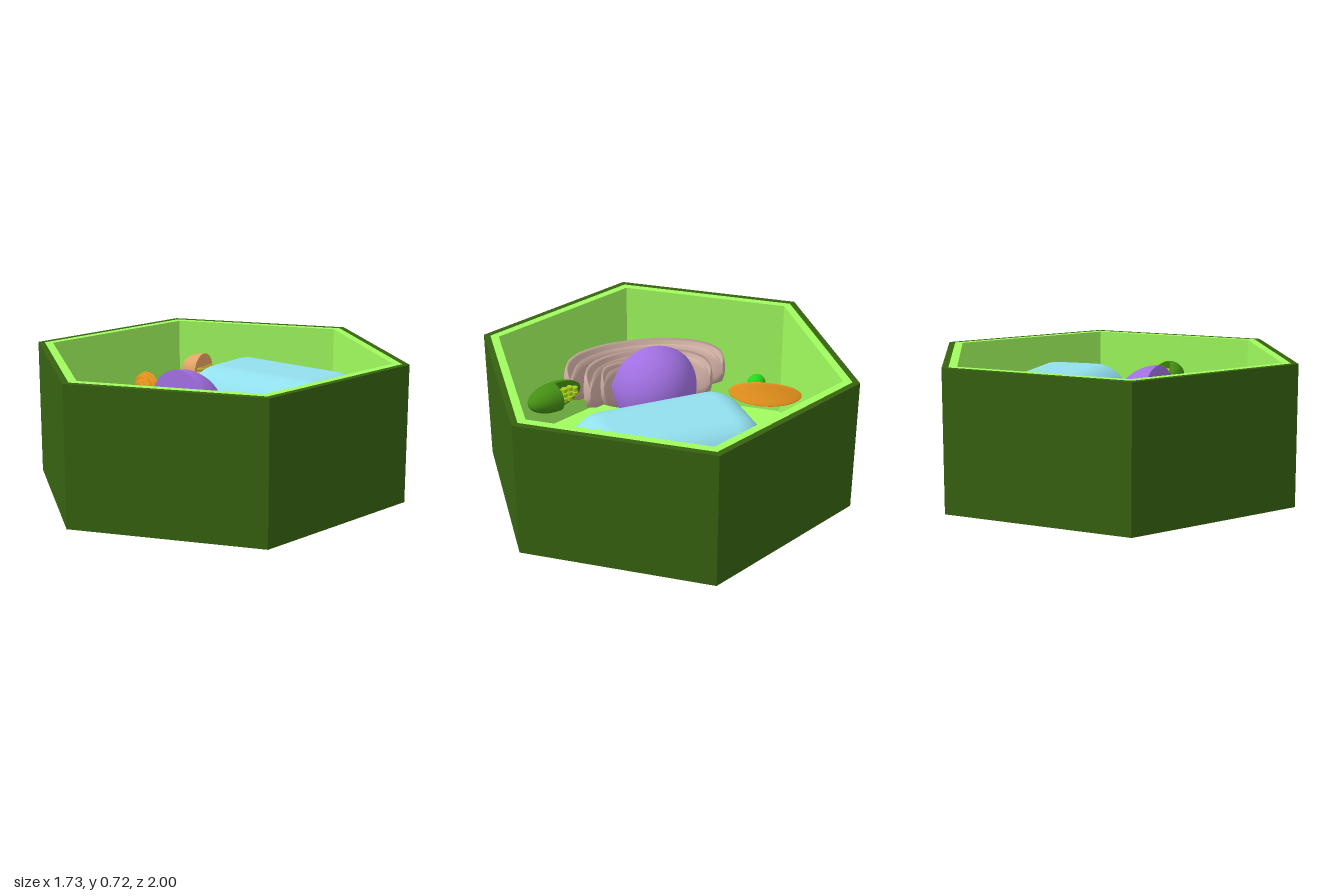
import * as THREE from 'three';
import { RoundedBoxGeometry } from 'three/addons/geometries/RoundedBoxGeometry.js';

const V = (x, y, z) => new THREE.Vector3(x, y, z);

function add(parent, name, geometry, color, pos = [0, 0, 0], opts = {}) {
  const mesh = new THREE.Mesh(geometry, new THREE.MeshStandardMaterial({ color, ...opts }));
  mesh.name = name;
  mesh.position.set(...pos);
  parent.add(mesh);
  return mesh;
}

function subgroup(parent, name, pos, turn = 0) {
  const g = new THREE.Group();
  g.name = name;
  g.position.set(...pos);
  g.rotation.y = turn;
  parent.add(g);
  return g;
}

// Six-sided outline with a corner on the z axis
function hexPoints(r) {
  return Array.from({ length: 6 }, (_, i) => {
    const a = i * Math.PI / 3;
    return new THREE.Vector2(r * Math.sin(a), r * Math.cos(a));
  });
}

// The hole runs the other way round so its walls face inward
function hexRing(outer, inner, y0, y1) {
  const shape = new THREE.Shape(hexPoints(outer));
  shape.holes.push(new THREE.Path(hexPoints(inner).reverse()));
  return new THREE.ExtrudeGeometry(shape, { depth: y1 - y0, bevelEnabled: false })
    .rotateX(-Math.PI / 2).translate(0, y0, 0);
}

// Ellipsoid with the quarter x < 0, z < 0 cut out, re-aimed by the images of x and z
function cutBall(parent, name, color, size, xTo, zTo) {
  const aim = new THREE.Matrix4().makeBasis(xTo, zTo.clone().cross(xTo), zTo);
  const scale = new THREE.Matrix4().makeScale(...size);
  const place = g => g.applyMatrix4(aim).applyMatrix4(scale);
  const half = () => new THREE.CircleGeometry(1, 32, Math.PI / 2, Math.PI);
  const both = { side: THREE.DoubleSide };
  add(parent, name + 'Body', place(new THREE.SphereGeometry(1, 48, 32, 0, Math.PI * 1.5)), color);
  add(parent, name + 'CutA', place(half()), color, [0, 0, 0], both);
  add(parent, name + 'CutB', place(half().rotateY(-Math.PI / 2)), color, [0, 0, 0], both);
}

// Curved sac with a groove along its top, swept round an elliptical arc
function foldGeometry(a, b, zc, yc, halfW, halfH, span) {
  const section = [[-0.5, -1], [0.6, -1], [1.05, -0.5], [1.1, 0.1], [0.95, 0.7], [0.7, 1], [0.4, 0.92], [0.2, 0.45],
    [-0.2, 0.45], [-0.4, 0.92], [-0.7, 1], [-0.95, 0.7], [-1, 0], [-0.9, -0.6]];
  const n = 48, m = section.length, pos = [], idx = [];
  for (let j = 0; j <= n; j++) {
    const s = 2 * j / n - 1, t = s * span;
    const taper = Math.sqrt(Math.max(0.0004, 1 - Math.pow(Math.abs(s), 5)));
    const w = halfW * taper, h = halfH * (0.2 + 0.8 * taper);
    for (const [u, v] of section) {
      const off = u * w;
      pos.push((a + off) * Math.sin(t), yc + 0.07 * s * s + v * h, zc + (b + off) * Math.cos(t));
    }
  }
  for (let j = 0; j < n; j++) for (let k = 0; k < m; k++) {
    const k2 = (k + 1) % m, p = j * m, q = p + m;
    idx.push(p + k, q + k, q + k2, p + k, q + k2, p + k2);
  }
  const g = new THREE.BufferGeometry();
  g.setAttribute('position', new THREE.Float32BufferAttribute(pos, 3));
  g.setIndex(idx);
  g.computeVertexNormals();
  return g;
}

export function createModel() {
  const model = new THREE.Group();
  model.name = 'cell';
  const DARK = 0x366210, LIGHT = 0xa0fb5e;

  // Hexagonal tray: dark wall, light lining, base and floor
  add(model, 'base', new THREE.CylinderGeometry(1, 1, 0.03, 6), DARK, [0, 0.015, 0], { flatShading: true });
  add(model, 'outerWall', hexRing(1, 0.963, 0.03, 0.72), DARK);
  add(model, 'innerLining', hexRing(0.963, 0.915, 0.03, 0.72), LIGHT);
  add(model, 'floor', new THREE.CylinderGeometry(0.93, 0.93, 0.03, 6), LIGHT, [0, 0.04, 0], { flatShading: true });

  // Large soft block, slightly turned, bulging and leaning back
  const vacuole = add(model, 'vacuole', new RoundedBoxGeometry(0.91, 0.4, 0.56, 12, 0.17), 0x92dfee, [0.085, 0.38, -0.345]);
  vacuole.rotation.y = 0.13;
  const vp = vacuole.geometry.attributes.position;
  for (let i = 0; i < vp.count; i++) {
    const x = vp.getX(i) / 0.455, y = vp.getY(i), z = vp.getZ(i) / 0.28;
    vp.setX(i, vp.getX(i) * (1 + 0.04 * (1 - z * z)));
    vp.setY(i, y * (1 + 0.1 * (1 - x * x)));
    vp.setZ(i, vp.getZ(i) * (1 + 0.05 * (1 - x * x)) - 0.12 * y);
    const normal = vacuole.geometry.attributes.normal;
    normal.setY(i, normal.getY(i) + 0.12 * normal.getZ(i));
  }
  vacuole.geometry.normalizeNormals();

  // Nucleus with its upper front quarter removed
  const nucleus = subgroup(model, 'nucleus', [-0.003, 0.435, 0.255]);
  cutBall(nucleus, 'nucleus', 0x9f6fe0, [0.228, 0.232, 0.228], V(0, 0, -1), V(0, -1, 0));
  add(nucleus, 'nucleolus', new THREE.SphereGeometry(0.097, 32, 24), 0x5fa3d0, [0, 0, 0.01]);

  // Nested folds in front of the nucleus
  const folds = subgroup(model, 'foldedMembrane', [0, 0, 0]);
  [[0.427, 0.365, 0.365, 0.058, 1.48], [0.335, 0.345, 0.29, 0.05, 1.48], [0.262, 0.24, 0.31, 0.043, 1.2]]
    .forEach(([a, b, zc, w, span], i) => add(folds, 'fold' + (i + 1),
      foldGeometry(a, b, zc, 0.33 - 0.015 * i, w, 0.13, span), 0xcfaea3, [0, 0, 0], { side: THREE.DoubleSide }));

  // Oval body with an open quarter and a winding inner fold
  const mito = subgroup(model, 'mitochondrion', [-0.568, 0.47, -0.44], 0.25);
  cutBall(mito, 'mitochondrion', 0xe5a468, [0.135, 0.092, 0.093], V(0, -1, 0), V(-1, 0, 0));
  const winding = [];
  for (let i = 0; i < 5; i++) {
    const x = 0.008 + i * 0.023, reach = 0.068 - i * 0.008, s = i % 2 ? -1 : 1;
    winding.push(V(x, 0.012, -s * reach), V(x + 0.006, 0.012, 0), V(x, 0.012, s * reach));
  }
  add(mito, 'innerFold', new THREE.TubeGeometry(new THREE.CatmullRomCurve3(winding), 120, 0.01, 8), 0xb9a61e);

  // Stack of thin bowed sacs
  const stack = subgroup(model, 'sacStack', [-0.545, 0.445, 0], -0.4);
  stack.rotation.order = 'YXZ';
  stack.rotation.x = 0.3;
  [[0.195, -0.03, 0], [0.175, -0.012, 0.005], [0.15, 0.006, -0.02], [0.13, 0.023, 0.025], [0.105, 0.04, 0.005]].forEach(([len, z, x], i) => {
    const g = new THREE.SphereGeometry(1, 32, 16).scale(len, 0.065 - i * 0.004, 0.009);
    const p = g.attributes.position;
    for (let k = 0; k < p.count; k++) p.setZ(k, p.getZ(k) + 0.7 * p.getX(k) ** 2 - 2 * p.getY(k) ** 2);
    g.computeVertexNormals();
    add(stack, 'sac' + (i + 1), g, 0xf0981e, [x, 0, z]);
  });

  // Small round vesicle
  add(model, 'vesicle', new THREE.SphereGeometry(0.05, 24, 16), 0x1fd91a, [-0.56, 0.405, 0.192]);

  // Green oval, cut open at the back, with columns of small discs
  const plast = subgroup(model, 'chloroplast', [0.565, 0.53, 0.08], 0.45);
  cutBall(plast, 'chloroplast', 0x448f14, [0.162, 0.075, 0.082], V(1, 0, 0), V(0, 0, 1));
  [-0.112, -0.079, -0.046, -0.013].forEach((x, i) => {
    const n = i === 0 ? 2 : 3;
    for (let k = 0; k < n; k++)
      add(plast, 'disc', new THREE.CylinderGeometry(0.016, 0.016, 0.02, 16), 0xa6d018, [x, (k - (n - 1) / 2) * 0.028, -0.018]);
  });

  return model;
}
